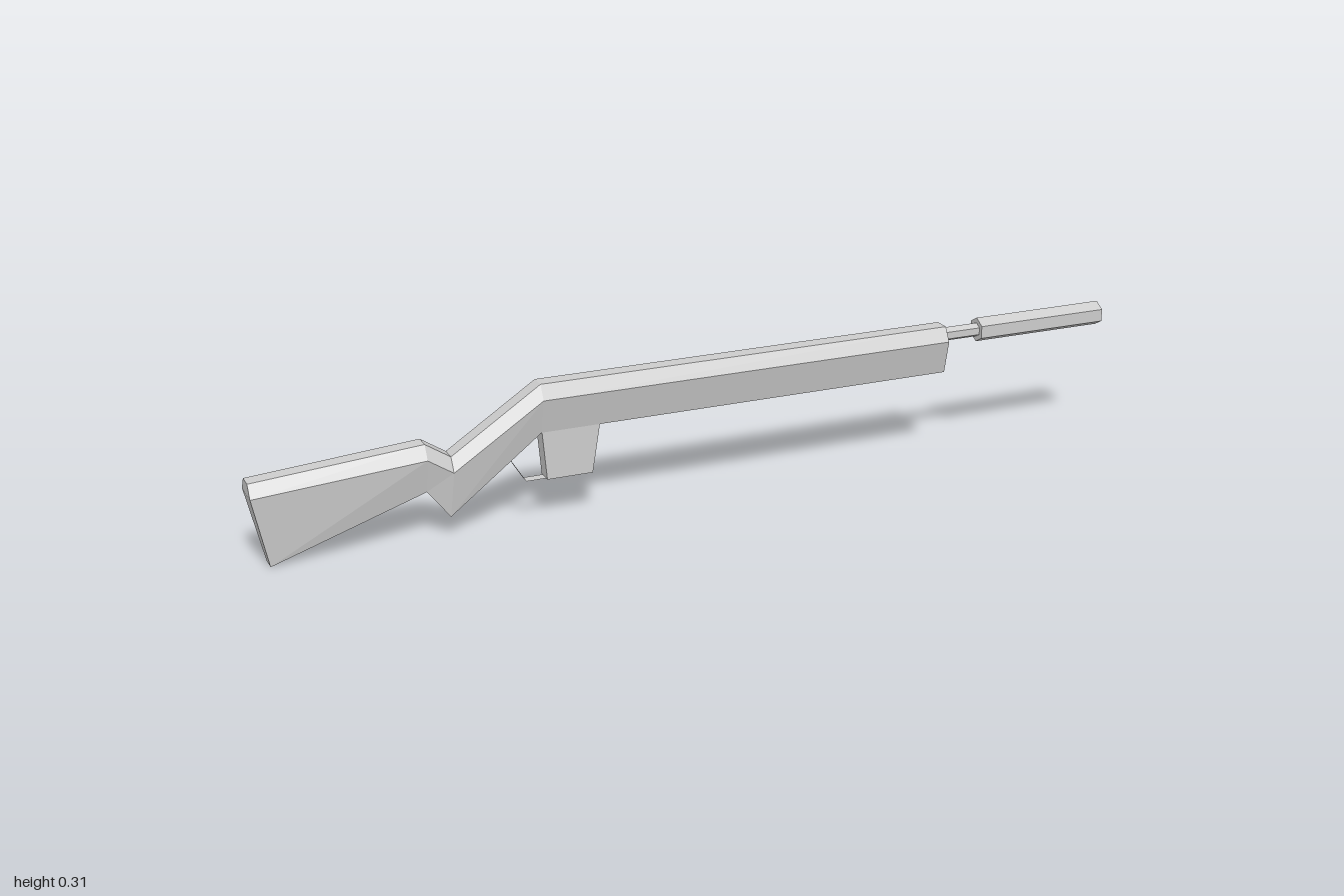
import * as THREE from 'three';

const material = new THREE.MeshStandardMaterial({ color: 0xcccccc, flatShading: true });
const thinMaterial = new THREE.MeshStandardMaterial({ color: 0xcccccc, flatShading: true, side: THREE.DoubleSide });

function addMesh(group, name, geometry, mat = material) {
  const mesh = new THREE.Mesh(geometry, mat);
  mesh.name = name;
  group.add(mesh);
  return mesh;
}

// Lofts a six-sided section along x; each station is [x, top, shoulder, bottom, bottomX]
function loftStock(stations) {
  const narrow = 0.018, wide = 0.036;
  const positions = [];
  for (const [x, top, shoulder, bottom, bottomX] of stations) {
    positions.push(
      x, top, -narrow, x, top, narrow,
      x, shoulder, wide,
      bottomX, bottom, narrow, bottomX, bottom, -narrow,
      x, shoulder, -wide);
  }
  const index = [];
  for (let i = 0; i < stations.length - 1; i++) {
    for (let j = 0; j < 6; j++) {
      const a = i * 6 + j, b = i * 6 + (j + 1) % 6;
      index.push(a, b, a + 6, b, b + 6, a + 6);
    }
  }
  // End caps
  const last = (stations.length - 1) * 6;
  for (const [a, b, c] of [[0, 1, 2], [0, 2, 5], [2, 3, 4], [2, 4, 5]]) {
    index.push(a, c, b, last + a, last + b, last + c);
  }
  return finish(positions, index);
}

function finish(positions, index) {
  const geometry = new THREE.BufferGeometry();
  geometry.setAttribute('position', new THREE.Float32BufferAttribute(positions, 3));
  geometry.setIndex(index);
  const flat = geometry.toNonIndexed();
  flat.computeVertexNormals();
  return flat;
}

// Thin strip following a side-view path
function ribbon(path, halfWidth) {
  const positions = [], index = [];
  path.forEach(([x, y], i) => {
    positions.push(x, y, -halfWidth, x, y, halfWidth);
    if (i > 0) {
      const a = (i - 1) * 2;
      index.push(a, a + 1, a + 2, a + 1, a + 3, a + 2);
    }
  });
  return finish(positions, index);
}

export function createModel() {
  const group = new THREE.Group();
  group.name = 'longStock';

  // One-piece stock: butt, wrist and long fore-end
  addMesh(group, 'stock', loftStock([
    [-1.0, 0.188, 0.16, 0.0, -0.965],
    [-0.63, 0.216, 0.186, 0.11, -0.63],
    [-0.575, 0.18, 0.15, 0.046, -0.58],
    [-0.375, 0.311, 0.28, 0.203, -0.375],
    [0.59, 0.311, 0.28, 0.203, 0.59],
  ]));

  // Tapered box under the fore-end
  const box = new THREE.Shape([
    [-0.375, 0.21], [-0.365, 0.095], [-0.262, 0.095], [-0.243, 0.21],
  ].map(([x, y]) => new THREE.Vector2(x, y)));
  const boxGeometry = new THREE.ExtrudeGeometry(box, { depth: 0.036, bevelEnabled: false });
  boxGeometry.translate(0, 0, -0.018);
  addMesh(group, 'underBox', boxGeometry);

  // Thin guard between wrist and box
  addMesh(group, 'guard', ribbon([[-0.445, 0.152], [-0.41, 0.096], [-0.364, 0.096]], 0.012), thinMaterial);

  // Hexagonal tube with a thicker, recessed end sleeve
  const profile = [
    [0, 0.55], [0.016, 0.55], [0.016, 0.68], [0.028, 0.68],
    [0.028, 1], [0.016, 1], [0.016, 0.93], [0, 0.93],
  ].map(([r, y]) => new THREE.Vector2(r, y));
  const tube = new THREE.LatheGeometry(profile, 6, Math.PI / 6);
  tube.rotateZ(-Math.PI / 2);
  tube.translate(0, 0.287, 0);
  addMesh(group, 'tubeAndSleeve', tube);

  return group;
}
